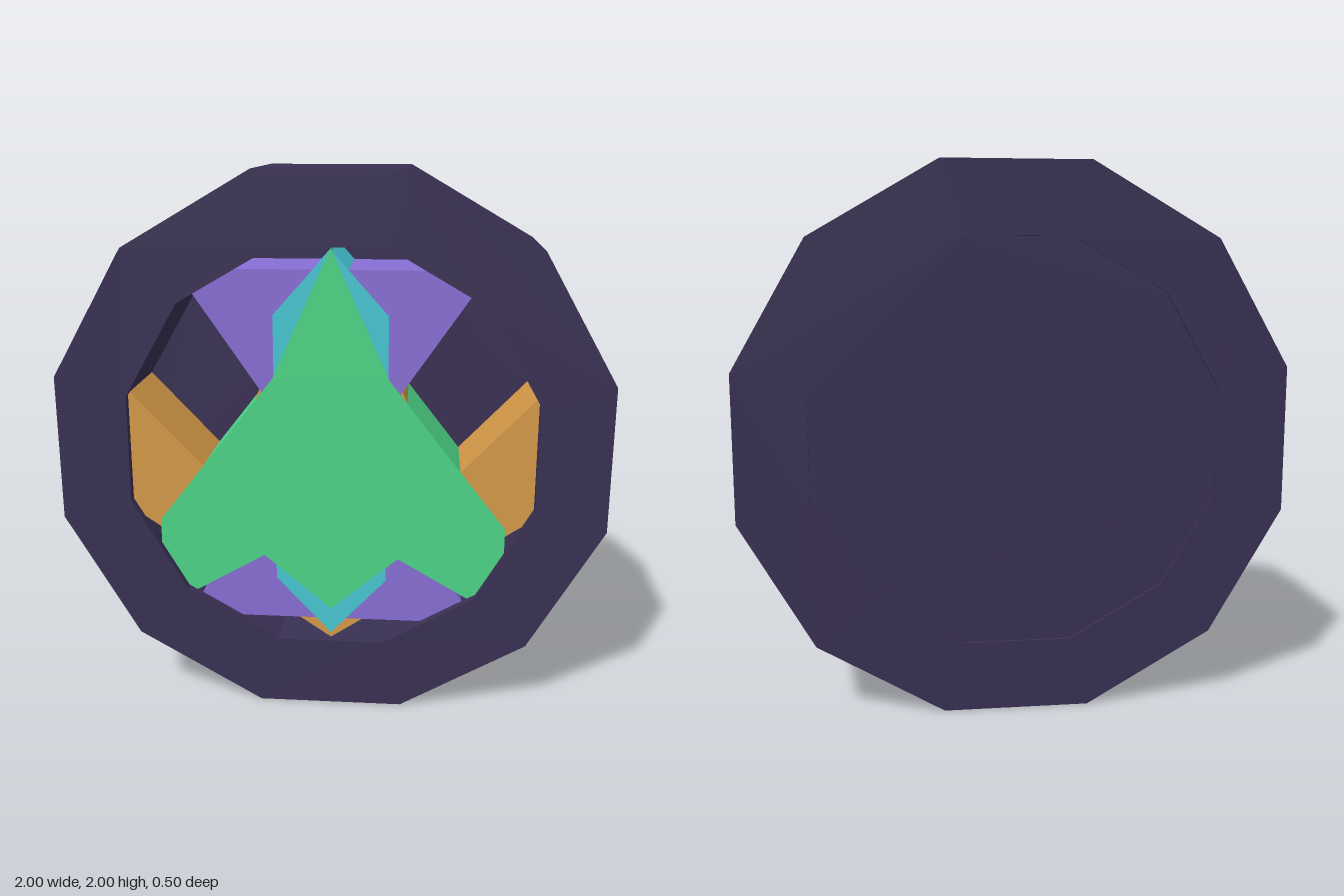
import * as THREE from 'three';

const material = (name, color) => {
  const m = new THREE.MeshStandardMaterial({ color });
  m.name = name;
  return m;
};

// Regular twelve-sided outline with a flat edge on top, given its apothem
function dodecagon(apothem) {
  const r = apothem / Math.cos(Math.PI / 12);
  return Array.from({ length: 12 }, (_, i) => {
    const a = Math.PI / 12 + (i * Math.PI) / 6;
    return new THREE.Vector2(r * Math.cos(a), 1 + r * Math.sin(a));
  });
}

// Closes the right half of an outline with its mirror image
function mirrored(half) {
  const right = half.map(([x, y]) => new THREE.Vector2(x, y));
  const left = half.filter(([x]) => x > 0).reverse().map(([x, y]) => new THREE.Vector2(-x, y));
  return right.concat(left);
}

function slab(name, points, z0, z1, mat, hole) {
  const shape = new THREE.Shape(points);
  if (hole) shape.holes.push(new THREE.Path(hole));
  const geometry = new THREE.ExtrudeGeometry(shape, { depth: z1 - z0, bevelEnabled: false });
  geometry.translate(0, 0, z0);
  const mesh = new THREE.Mesh(geometry, mat);
  mesh.name = name;
  return mesh;
}

export function createModel() {
  const group = new THREE.Group();
  group.name = 'emblemDisc';
  const dark = material('dark violet', 0x3a3154);
  const green = material('green', 0x4dd687);
  const teal = material('teal', 0x48c8d4);
  const purple = material('purple', 0x896fd6);
  const orange = material('orange', 0xd49a48);

  // Twelve-sided rim and the slightly recessed back plate
  group.add(slab('rim', dodecagon(1), -0.25, 0.25, dark, dodecagon(0.74)));
  group.add(slab('backPlate', dodecagon(0.74), -0.24, -0.1, dark));

  // Layered blocks, each a hair in front of the one before; bottom to top
  group.add(slab('wings', mirrored([
    [0, 0.26], [1.001, 0.935], [0.735, 1.215], [0.4, 0.86], [0.2, 1.38],
  ]), -0.1, 0.217, orange));
  group.add(slab('hourglass', mirrored([
    [0.55, 0.34], [0.1, 1], [0.55, 1.66],
  ]), -0.1, 0.218, purple));
  group.add(slab('longCrystal', mirrored([
    [0, 0.28], [0.205, 0.5], [0.205, 1.5], [0, 1.73],
  ]), -0.1, 0.219, teal));
  group.add(slab('arrowhead', mirrored([
    [0, 0.38], [0.25, 0.59], [0.64, 0.365], [0.64, 0.72], [0.21, 1.27], [0, 1.735],
  ]), -0.1, 0.22, green));

  return group;
}
